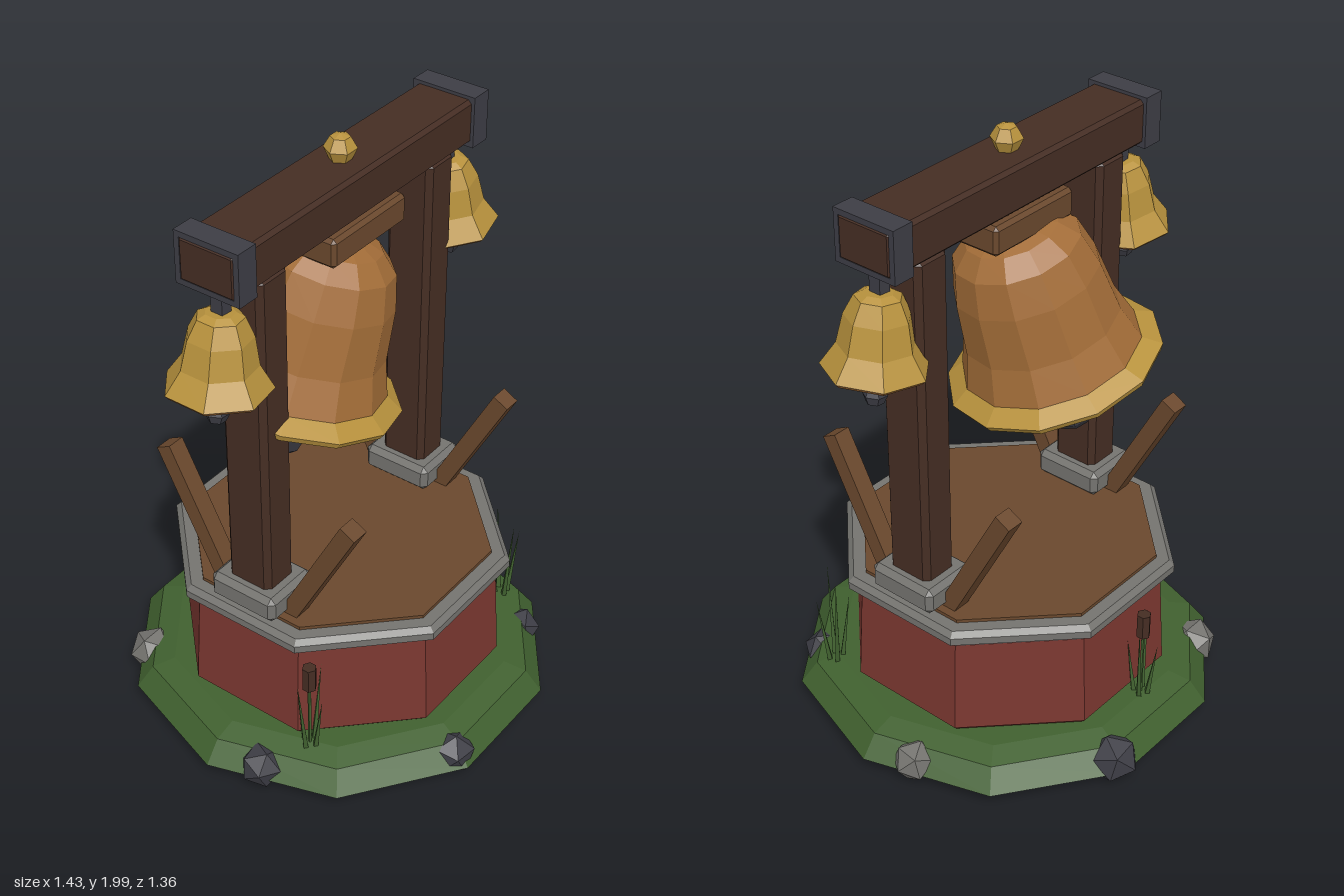
import * as THREE from 'three';
import { ConvexGeometry } from 'three/addons/geometries/ConvexGeometry.js';

const mat = (name, color, side = THREE.FrontSide) => {
  const m = new THREE.MeshStandardMaterial({ color, side });
  m.name = name;
  return m;
};

export function createModel() {
  const grass = mat('grass', 0x40602f);
  const brick = mat('redBrick', 0x7a3730);
  const stone = mat('stone', 0x74736f);
  const iron = mat('iron', 0x3d3d45);
  const darkWood = mat('darkWood', 0x452d23);
  const wood = mat('wood', 0x6a482d);
  const bronze = mat('bronze', 0xa36d38);
  const gold = mat('gold', 0xb8923d);
  const inner = mat('bellInterior', 0x2e1e17);

  const root = new THREE.Group();
  root.name = 'bellTower';
  root.position.x = -0.012;

  const flat = (geo) => {
    const g = geo.index ? geo.toNonIndexed() : geo;
    g.computeVertexNormals();
    return g;
  };
  const add = (name, geo, material, parent = root, pos = [0, 0, 0]) => {
    const mesh = new THREE.Mesh(flat(geo), material);
    mesh.name = name;
    mesh.position.set(...pos);
    parent.add(mesh);
    return mesh;
  };
  const group = (name, pos, parent = root) => {
    const g = new THREE.Group();
    g.name = name;
    g.position.set(...pos);
    parent.add(g);
    return g;
  };
  const lathe = (profile, sides, start = 0) =>
    new THREE.LatheGeometry(profile.map(([r, y]) => new THREE.Vector2(r, y)), sides, start);

  // Box with chamfered edges
  const bevelBox = (w, h, d, c) => {
    const pts = [];
    for (const x of [-1, 1]) for (const y of [-1, 1]) for (const z of [-1, 1]) {
      const [a, b, e] = [x * w / 2, y * h / 2, z * d / 2];
      pts.push(new THREE.Vector3(a, b - y * c, e - z * c),
        new THREE.Vector3(a - x * c, b, e - z * c),
        new THREE.Vector3(a - x * c, b - y * c, e));
    }
    return new ConvexGeometry(pts);
  };

  // Grassy mound, ten sides
  add('grassMound', lathe([[0, 0.025], [0.66, 0.025], [0.7, 0.06], [0.645, 0.132], [0.57, 0.152], [0, 0.152]],
    10, Math.PI / 2), grass);

  // Octagonal drum, stone rim and deck
  const oct = Math.PI / 8;
  add('brickDrum', lathe([[0.51, 0.145], [0.535, 0.17], [0.515, 0.49], [0.49, 0.515], [0, 0.515]], 8, oct), brick);
  add('stoneRim', lathe([[0.45, 0.512], [0.54, 0.512], [0.558, 0.525], [0.558, 0.55], [0.54, 0.567], [0.48, 0.567]],
    8, oct), stone);
  add('deck', lathe([[0.498, 0.54], [0.498, 0.578], [0, 0.578]], 8, oct), wood);

  // Crossbeam, finial and yoke
  add('crossbeam', bevelBox(1.186, 0.145, 0.2, 0.012), darkWood, root, [0, 1.847, 0]);
  add('finial', lathe([[0, 1.915], [0.034, 1.92], [0.05, 1.955], [0.03, 1.99], [0, 2]], 6, Math.PI / 2), gold);
  add('yoke', bevelBox(0.35, 0.095, 0.22, 0.012), wood, root, [0, 1.72, 0]);

  // Bell seen along its own axis: outer shell, lip, dark inside, rod and clapper
  const makeBell = (name, pos, o) => {
    const bell = group(name, pos);
    add('bellShell', lathe(o.shell, o.sides, Math.PI / 2), o.shellMat, bell);
    add('bellLip', lathe(o.lip, o.sides, Math.PI / 2), o.lipMat, bell);
    add('bellInside', lathe(o.inside, o.sides, Math.PI / 2), inner, bell);
    const top = o.inside[0][1];
    const rod = new THREE.CylinderGeometry(o.rod, o.rod, top + o.drop, 6);
    add('clapperRod', rod, iron, bell, [0, (top - o.drop) / 2, 0]);
    add('clapper', new THREE.SphereGeometry(o.ball, o.ballSides, o.ballSides - 2), iron, bell, [0, -o.drop, 0]);
    return bell;
  };

  const bigBell = makeBell('mainBell', [0, 1.7, 0], {
    sides: 12, shellMat: bronze, lipMat: gold,
    shell: [[0.287, -0.495], [0.25, -0.38], [0.23, -0.21], [0.2, -0.1], [0.145, -0.045], [0.06, -0.015], [0, -0.015]],
    lip: [[0.3, -0.545], [0.335, -0.55], [0.345, -0.53], [0.287, -0.495]],
    inside: [[0, -0.1], [0.17, -0.12], [0.22, -0.38], [0.3, -0.545]],
    rod: 0.022, drop: 0.694, ball: 0.098, ballSides: 8,
  });
  bigBell.rotation.set(0.164, 0, -0.238);

  for (const s of [-1, 1]) {
    const side = s > 0 ? 'left' : 'right';

    // Post with its stone foot
    add(side + 'Post', bevelBox(0.13, 1.21, 0.16, 0.018), darkWood, root, [s * 0.403, 1.168, 0]);
    add(side + 'PostFoot', bevelBox(0.205, 0.09, 0.245, 0.018), stone, root, [s * 0.403, 0.622, 0]);

    // Slanted braces in front of and behind the post
    for (const f of [-1, 1]) {
      const brace = add(side + (f > 0 ? 'Front' : 'Back') + 'Brace',
        new THREE.BoxGeometry(0.06, 0.49, 0.058), wood, root, [s * 0.403, 0.785, f * 0.235]);
      brace.rotation.x = f * 0.485;
    }

    // Iron strap around the beam end, with hanger
    const strap = group(side + 'Strap', [s * 0.553, 1.847, 0]);
    for (const k of [-1, 1]) {
      add('strapPlate', new THREE.BoxGeometry(0.074, 0.018, 0.222), iron, strap, [0, k * 0.074, 0]);
      add('strapCheek', new THREE.BoxGeometry(0.074, 0.166, 0.018), iron, strap, [0, 0, k * 0.102]);
    }
    add(side + 'Hanger', new THREE.BoxGeometry(0.04, 0.11, 0.04), iron, root, [s * 0.537, 1.72, 0]);

    // Small outward-leaning bell
    const small = makeBell(side + 'SmallBell', [s * 0.54, 1.7, 0], {
      sides: 7, shellMat: gold, lipMat: bronze,
      shell: [[0.16, -0.245], [0.115, -0.175], [0.098, -0.085], [0.07, -0.025], [0.045, -0.012], [0, -0.012]],
      lip: [[0.148, -0.257], [0.16, -0.245]],
      inside: [[0, -0.06], [0.075, -0.08], [0.1, -0.18], [0.148, -0.257]],
      rod: 0.01, drop: 0.33, ball: 0.038, ballSides: 6,
    });
    small.rotation.z = s * 0.1;
  }

  // Rocks around the mound: x, z, radius, material
  const rocks = [
    [-0.42, -0.47, 0.078, stone], [0.2, -0.61, 0.082, iron], [0.615, -0.14, 0.07, stone],
    [0.415, 0.455, 0.068, iron], [-0.2, 0.595, 0.074, iron], [-0.61, 0.15, 0.072, iron],
  ];
  rocks.forEach(([x, z, r, m], i) => {
    const rock = add('rock', new THREE.IcosahedronGeometry(r, 0), m, root, [x, 0.083, z]);
    rock.rotation.set(i * 1.3, i * 2.1, i * 0.7);
  });

  // Reed clumps: x, z, whether it has a cattail
  const reeds = [[-0.49, 0.25, true], [0.47, 0.34, false], [-0.04, -0.53, true]];
  reeds.forEach(([x, z, cattail], i) => {
    const clump = group('reedClump', [x, 0.13, z]);
    for (let k = 0; k < 4; k++) {
      const h = 0.22 + 0.045 * ((k * 2 + i) % 4);
      const geo = new THREE.ConeGeometry(0.011, h, 4).translate(0, h / 2, 0);
      const a = k * 1.57 + i;
      const blade = add('reedBlade', geo, grass, clump, [0.02 * Math.sin(a), 0, 0.02 * Math.cos(a)]);
      blade.rotation.set(0.13 * Math.cos(a), 0, -0.13 * Math.sin(a));
    }
    if (cattail) {
      add('cattailStem', new THREE.CylinderGeometry(0.006, 0.006, 0.28, 5), grass, clump, [0, 0.14, 0]);
      add('cattailHead', new THREE.CylinderGeometry(0.023, 0.023, 0.085, 6), darkWood, clump, [0, 0.295, 0]);
    }
  });

  const model = new THREE.Group();
  model.name = 'model';
  model.add(root);
  return model;
}
